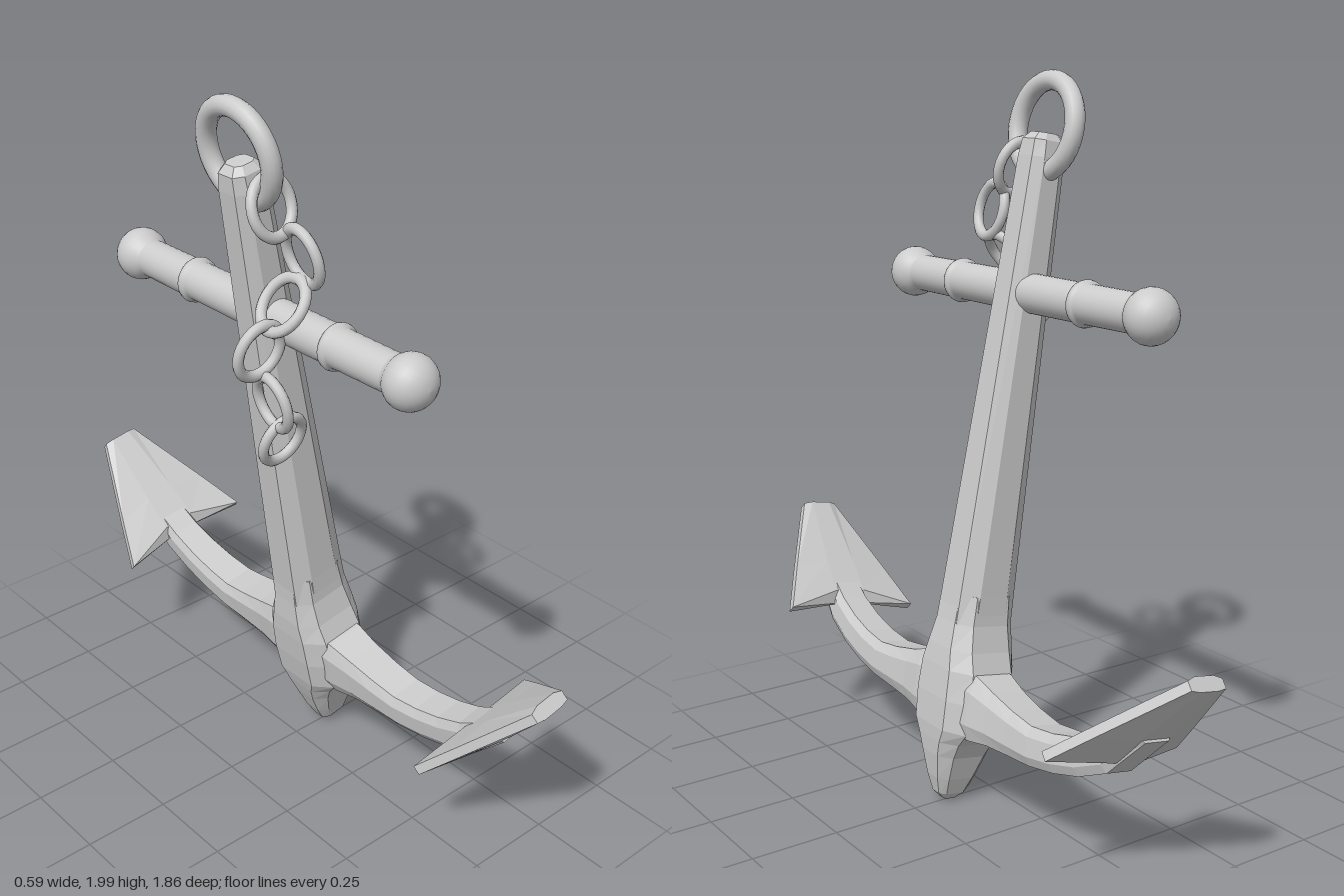
import * as THREE from 'three';

const smooth = new THREE.MeshStandardMaterial({ color: 0xcccccc });
const flat = new THREE.MeshStandardMaterial({ color: 0xcccccc, flatShading: true });

function add(parent, geometry, name, material = smooth) {
  const mesh = new THREE.Mesh(geometry, material);
  mesh.name = name;
  parent.add(mesh);
  return mesh;
}

// Skin a list of rings (arrays of Vector3, right-handed about the travel direction) and cap both ends
function loft(rings) {
  const pos = [];
  const tri = (a, b, c) => [a, b, c].forEach(p => pos.push(p.x, p.y, p.z));
  const n = rings[0].length;
  const middle = ring => ring.reduce((s, p) => s.add(p), new THREE.Vector3()).divideScalar(n);
  const c0 = middle(rings[0]), c1 = middle(rings[rings.length - 1]);
  for (let i = 0; i < n; i++) {
    const j = (i + 1) % n;
    for (let k = 0; k + 1 < rings.length; k++) {
      const a = rings[k], b = rings[k + 1];
      tri(a[i], a[j], b[j]);
      tri(a[i], b[j], b[i]);
    }
    tri(c0, rings[0][j], rings[0][i]);
    tri(c1, rings[rings.length - 1][i], rings[rings.length - 1][j]);
  }
  const g = new THREE.BufferGeometry();
  g.setAttribute('position', new THREE.Float32BufferAttribute(pos, 3));
  g.computeVertexNormals();
  return g;
}

// Bevelled rectangle, counter-clockwise; bevel is the flat's share of each half side
function octagon(w, h, fw = 0.6, fh = 0.5) {
  return [[w, -h * fh], [w, h * fh], [w * fw, h], [-w * fw, h],
    [-w, h * fh], [-w, -h * fh], [-w * fw, -h], [w * fw, -h]];
}

// Upright section: u along x, v along -z
const upright = (y, w, d, fw, fd) =>
  octagon(w, d, fw, fd).map(([u, v]) => new THREE.Vector3(u, y, -v));

// Point in a frame climbing at angle a in the z-y plane: u along x, v up from the path, s along it
const climb = (z, y, a, u, v, s = 0) => new THREE.Vector3(
  u, y + v * Math.cos(a) + s * Math.sin(a), z - v * Math.sin(a) + s * Math.cos(a));

function makeArm() {
  const arm = new THREE.Group();
  // z, y, half height, half width, climb angle
  const path = [
    [0, 0.305, 0.10, 0.078, 0], [0.13, 0.305, 0.09, 0.076, 0], [0.2, 0.3, 0.073, 0.068, 0],
    [0.29, 0.293, 0.06, 0.064, 0.03], [0.38, 0.29, 0.052, 0.062, 0.12], [0.47, 0.303, 0.05, 0.059, 0.22],
    [0.56, 0.327, 0.049, 0.056, 0.35], [0.65, 0.366, 0.047, 0.053, 0.55], [0.77, 0.465, 0.028, 0.05, 0.74],
  ];
  add(arm, loft(path.map(([z, y, h, w, a]) =>
    octagon(w, h, 0.75, 0.5).map(([u, v]) => climb(z, y, a, u, v)))), 'curvedArm', flat);

  // Arrow-shaped fluke with swept-back barbs and a ridge underneath
  const angle = 0.74;
  const section = (s, w, ridge, ridgeW, sweep) => [
    [w, -0.013], [w, 0.013], [ridgeW, 0.022], [-ridgeW, 0.022],
    [-w, 0.013], [-w, -0.013], [-ridgeW, -ridge], [ridgeW, -ridge],
  ].map(([u, v]) => climb(0.635, 0.37, angle, u, v, s + (Math.abs(u) < w ? sweep : 0)));
  add(arm, loft([
    section(0, 0.213, 0.052, 0.05, 0.05),
    section(0.14, 0.157, 0.042, 0.046, 0.02),
    section(0.385, 0.055, 0.018, 0.03, 0),
  ]), 'fluke', flat);
  return arm;
}

// Stock turned about its length: ball ends and two collars
function makeStock() {
  const half = [[0.054, 0], [0.053, 0.268], [0.061, 0.271], [0.063, 0.28], [0.061, 0.289], [0.053, 0.292], [0.052, 0.478]];
  for (let i = 0; i <= 10; i++) {
    const a = THREE.MathUtils.lerp(2.35, 0, i / 10);
    half.push([Math.max(0.0001, 0.073 * Math.sin(a)), 0.533 + 0.068 * Math.cos(a)]);
  }
  const profile = [...half.slice(1).reverse().map(([r, y]) => [r, -y]), ...half];
  return new THREE.LatheGeometry(profile.map(([r, y]) => new THREE.Vector2(r, y)), 28).rotateX(Math.PI / 2);
}

export function createModel() {
  const model = new THREE.Group();
  model.name = 'anchor';

  // Leaning body
  const body = new THREE.Group();
  body.name = 'anchorBody';
  body.position.set(0.14, 0.008, 0);
  body.rotation.z = THREE.MathUtils.degToRad(10);
  model.add(body);

  add(body, loft([
    upright(0.35, 0.098, 0.085, 0.55, 0.6), upright(0.6, 0.09, 0.076, 0.5, 0.6),
    upright(1.79, 0.054, 0.052, 0.5, 0.6), upright(1.835, 0.05, 0.046, 0.5, 0.6),
    upright(1.855, 0.032, 0.03, 0.5, 0.6),
  ]), 'shank', flat);

  // Height, half width, half depth
  const crown = [[0, 0.02, 0.012], [0.02, 0.045, 0.028], [0.07, 0.065, 0.046], [0.14, 0.085, 0.068],
    [0.185, 0.095, 0.09], [0.225, 0.102, 0.122], [0.31, 0.107, 0.128], [0.395, 0.107, 0.12],
    [0.45, 0.104, 0.098], [0.52, 0.095, 0.08], [0.6, 0.088, 0.074]];
  add(body, loft(crown.map(([y, w, d]) => upright(y, w, d, 0.6, 0.55))), 'crown', flat);

  for (const side of [0, 1]) {
    const arm = makeArm();
    arm.name = side ? 'backArm' : 'frontArm';
    arm.rotation.y = side * Math.PI;
    body.add(arm);
  }

  add(body, makeStock(), 'stock').position.y = 1.432;

  const ring = add(body, new THREE.TorusGeometry(0.123, 0.027, 14, 40), 'topRing');
  ring.rotation.y = Math.PI / 2;
  ring.position.y = 1.872;

  // Hanging chain: centre, long axis, facing direction
  const links = [
    [[-0.165, 1.74, 0.1], [0, 0.16, -0.05], [0.1, 0.3, 0.95]],
    [[-0.128, 1.625, 0.17], [-0.03, 0.15, -0.03], [1, 0.2, 0.1]],
    [[-0.165, 1.5, 0.14], [0.09, 0.12, 0.02], [0.8, -0.6, 0]],
    [[-0.225, 1.385, 0.12], [0.03, 0.15, 0.03], [0, -0.15, 1]],
    [[-0.192, 1.235, 0.13], [-0.04, 0.2, 0], [1, 0.2, 0.1]],
    [[-0.143, 1.105, 0.11], [-0.05, 0.14, 0.05], [0.1, -0.4, 0.9]],
  ];
  const chain = new THREE.Group();
  chain.name = 'chain';
  model.add(chain);
  for (const [centre, along, facing] of links) {
    const up = new THREE.Vector3(...along).normalize();
    const x = new THREE.Vector3().crossVectors(up, new THREE.Vector3(...facing)).normalize();
    const z = new THREE.Vector3().crossVectors(x, up);
    const link = add(chain, new THREE.TorusGeometry(0.066, 0.0145, 10, 28).scale(1, 1.12, 1), 'chainLink');
    link.quaternion.setFromRotationMatrix(new THREE.Matrix4().makeBasis(x, up, z));
    link.position.set(...centre);
  }
  return model;
}
